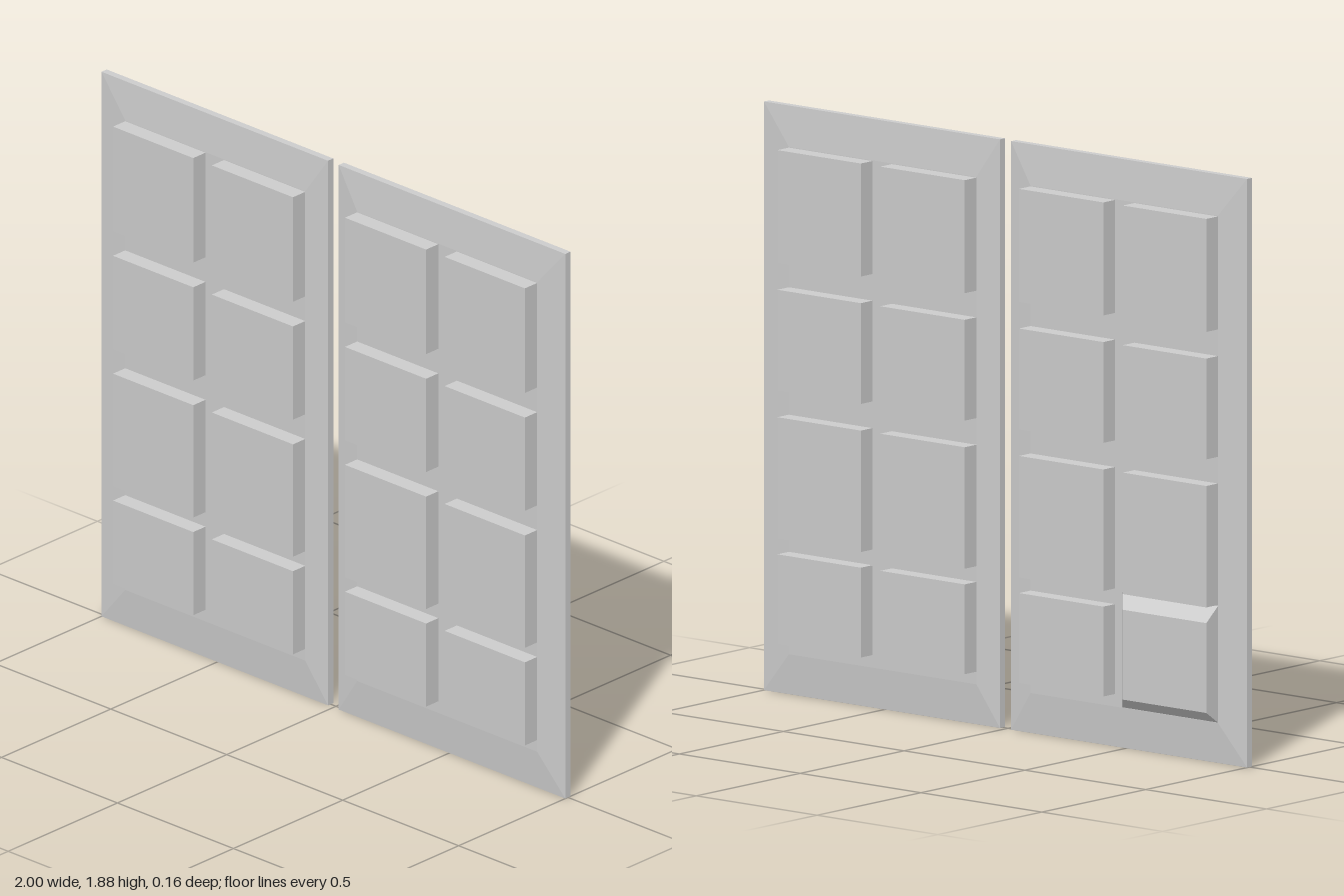
import * as THREE from 'three';

const material = new THREE.MeshStandardMaterial({ color: 0xcccccc, flatShading: true, side: THREE.DoubleSide });

// Rectangular loft along z: each section is [z, x0, x1, y0, y1], ordered back to front
function loft(name, sections) {
  const n = sections.length - 1;
  const geometry = new THREE.BoxGeometry(1, 1, 1, 1, 1, n);
  const p = geometry.attributes.position;
  for (let i = 0; i < p.count; i++) {
    const [z, x0, x1, y0, y1] = sections[Math.round((p.getZ(i) + 0.5) * n)];
    p.setXYZ(i, p.getX(i) < 0 ? x0 : x1, p.getY(i) < 0 ? y0 : y1, z);
  }
  const flat = geometry.toNonIndexed();
  flat.computeVertexNormals();
  const mesh = new THREE.Mesh(flat, material);
  mesh.name = name;
  return mesh;
}

const HEIGHT = 1.88;
const DEPTH = 0.078;
const columns = [[0.112, 0.462], [0.542, 0.888]];
const rows = [[0.17, 0.457], [0.507, 0.895], [0.98, 1.302], [1.387, 1.748]];

function createLeaf(side) {
  const leaf = new THREE.Group();
  leaf.name = side > 0 ? 'leftDoor' : 'rightDoor';
  const span = (a, b) => (side > 0 ? [a, b] : [-b, -a]);

  // Slab, thinning towards its border on both faces
  const edge = [...span(0.023, 1), 0, HEIGHT];
  const field = [...span(0.112, 0.888), 0.13, 1.75];
  leaf.add(loft('doorSlab', [[-0.022, ...field], [-0.012, ...edge], [0.012, ...edge], [0.022, ...field]]));

  // Raised panels standing out of both faces
  rows.forEach((row, r) => columns.forEach((column, c) => {
    const rect = [...span(...column), ...row];
    const sections = [[-DEPTH, ...rect], [DEPTH, ...rect]];
    // The lower outer panel of the right door has a flared foot at the back
    if (side < 0 && r === 0 && c === 1) {
      const foot = [-0.888, -0.49, 0.13, 0.505];
      sections.splice(1, 0, [-0.02, ...foot], [-0.019, ...rect]);
    }
    leaf.add(loft('raisedPanel', sections));
  }));
  return leaf;
}

export function createModel() {
  const model = new THREE.Group();
  model.name = 'doubleDoor';
  model.add(createLeaf(-1), createLeaf(1));
  return model;
}
